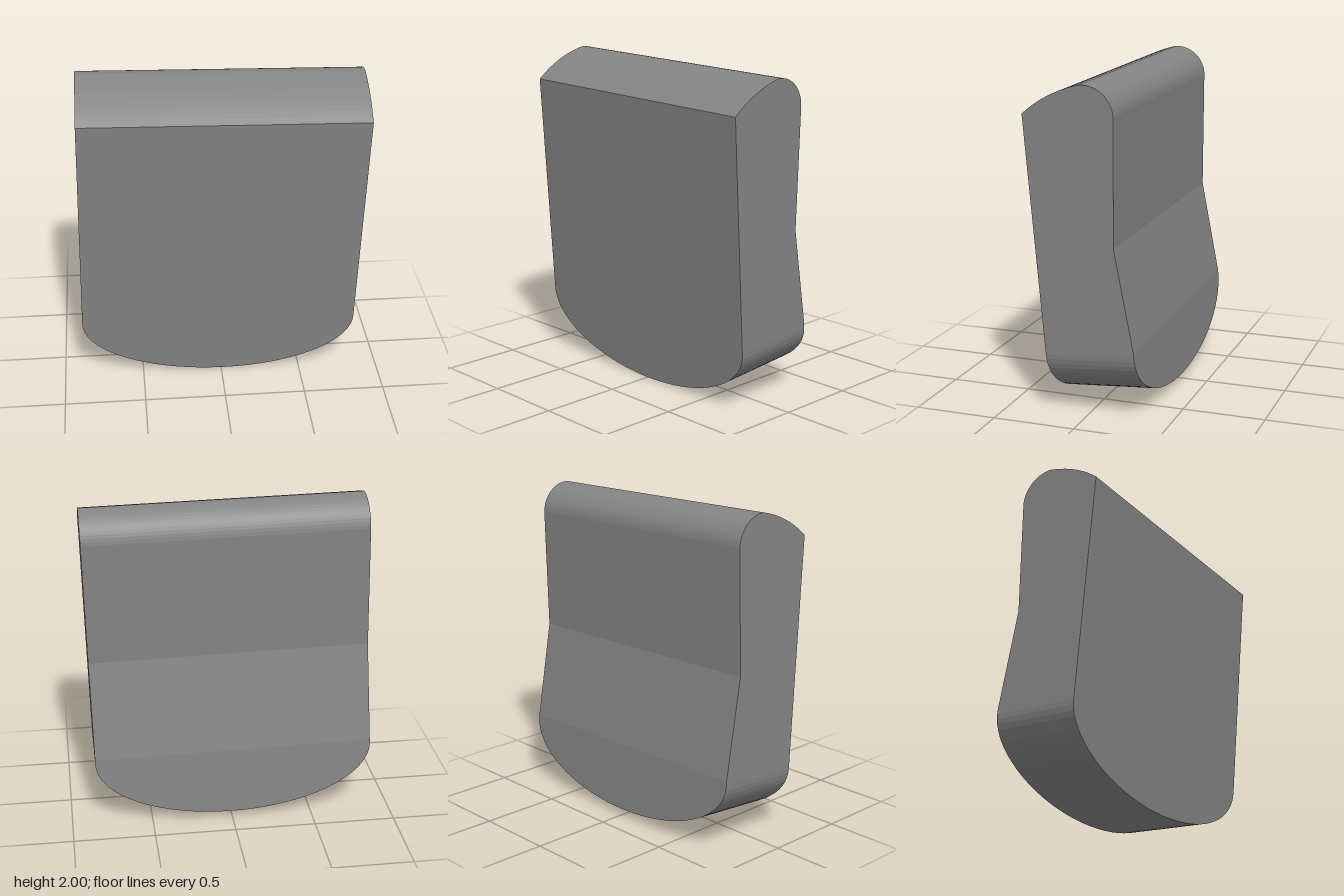
import * as THREE from 'three';

const HALF_WIDTH = 0.858;
const JOIN = 0.408;   // height where the straight sides meet the rounded bottom
const BOTTOM = 0.018; // lowest point of the rounded bottom
const COLUMNS = 40;

// Side profile as (z, y): up the front, over the rounded top, down the bent back
function sideProfile() {
  const slope = new THREE.QuadraticBezierCurve(
    new THREE.Vector2(0.2, 1.825),
    new THREE.Vector2(0.04, 1.946),
    new THREE.Vector2(-0.16, 1.975)
  ).getPoints(10);
  const shoulder = new THREE.EllipseCurve(-0.16, 1.79, 0.185, 0.185, Math.PI / 2, Math.PI)
    .getPoints(14).slice(1);
  return [
    new THREE.Vector2(0.2, JOIN),
    ...slope,
    ...shoulder,
    new THREE.Vector2(-0.279, 1.045),
    new THREE.Vector2(-0.345, 0.434),
    new THREE.Vector2(-0.345, JOIN),
  ];
}

// Sweep the profile across x; its lower edge follows a half ellipse
function bodyGeometry() {
  const profile = sideProfile();
  const n = profile.length;
  const positions = [];
  const tri = (...points) => points.forEach((p) => positions.push(...p));

  const columns = [];
  for (let i = 0; i <= COLUMNS; i++) {
    const a = (i / COLUMNS) * Math.PI;
    const x = -HALF_WIDTH * Math.cos(a);
    const low = JOIN - (JOIN - BOTTOM) * Math.sin(a);
    columns.push(profile.map((p, j) => [x, j === 0 || j === n - 1 ? low : p.y, p.x]));
  }

  // Front, top, back and underside
  for (let i = 0; i < COLUMNS; i++) {
    const left = columns[i], right = columns[i + 1];
    for (let j = 0; j < n; j++) {
      const k = (j + 1) % n;
      tri(left[j], right[j], right[k]);
      tri(left[j], right[k], left[k]);
    }
  }

  // Flat side faces
  const first = columns[0], last = columns[COLUMNS];
  for (let j = 1; j < n - 1; j++) {
    tri(first[0], first[j], first[j + 1]);
    tri(last[0], last[j + 1], last[j]);
  }

  const geometry = new THREE.BufferGeometry();
  geometry.setAttribute('position', new THREE.Float32BufferAttribute(positions, 3));

  // Lean forward, tip and turn slightly, then stand on the ground
  geometry.rotateX(THREE.MathUtils.degToRad(4.55));
  geometry.rotateZ(THREE.MathUtils.degToRad(-1.17));
  geometry.rotateY(THREE.MathUtils.degToRad(-0.25));
  geometry.center();
  geometry.computeBoundingBox();
  geometry.translate(0, -geometry.boundingBox.min.y, 0);
  geometry.computeVertexNormals();
  return geometry;
}

export function createModel() {
  const group = new THREE.Group();
  const material = new THREE.MeshStandardMaterial({ color: 0x848484, flatShading: true });
  const body = new THREE.Mesh(bodyGeometry(), material);
  body.name = 'roundedBlock';
  group.add(body);
  return group;
}
